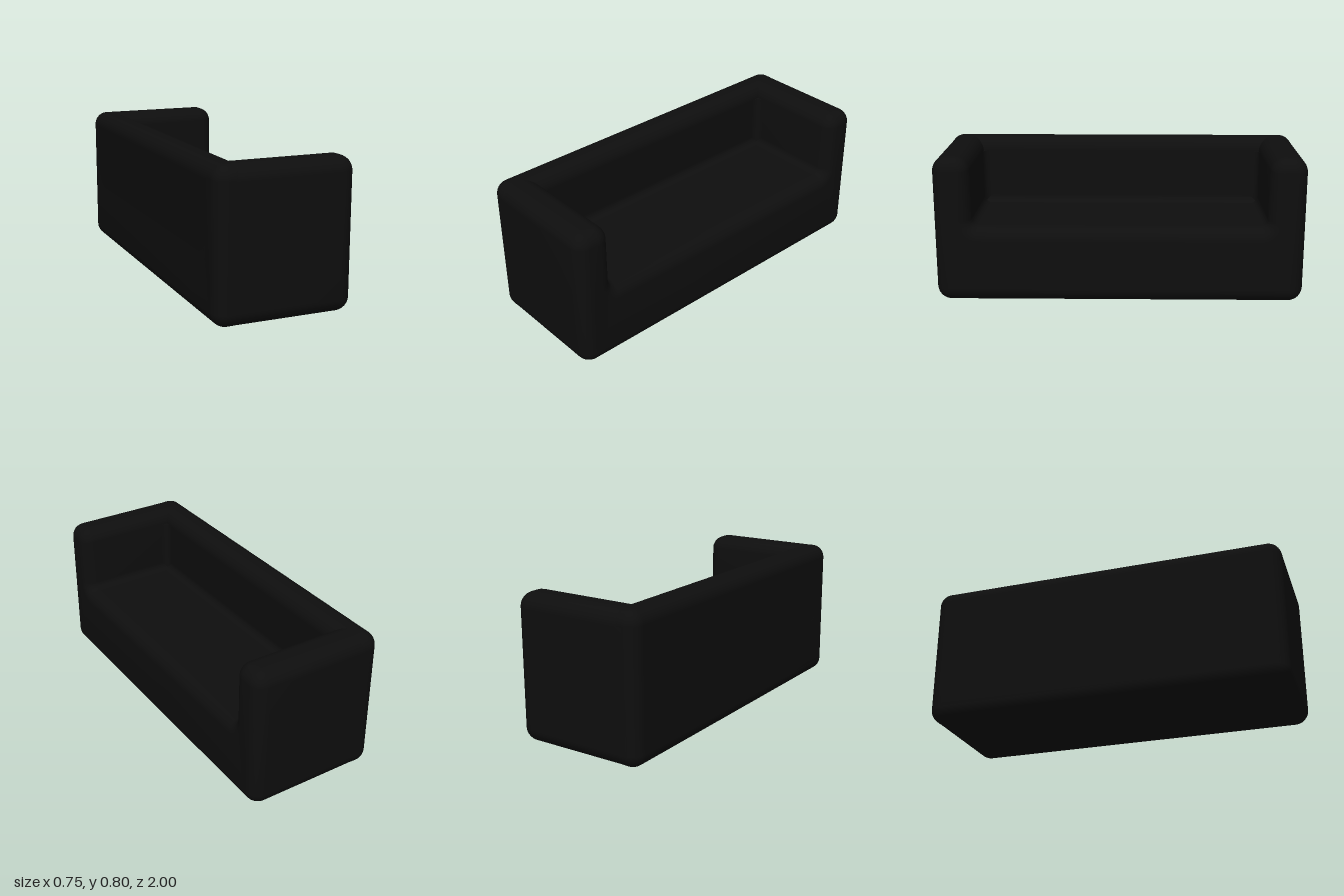
import * as THREE from 'three';
import { RoundedBoxGeometry } from 'three/addons/geometries/RoundedBoxGeometry.js';
import { toCreasedNormals } from 'three/addons/utils/BufferGeometryUtils.js';

const R = 0.075;    // soft outer edges
const FILLET = 0.04; // soft inner corners
const WIDTH = 0.75, HEIGHT = 0.8, SEAT = 0.42, ARM = 0.8, BACK = -0.2;

// U-shaped outline of seat and arms, with every corner rounded
function frameShape() {
  const r = R + 0.003, f = FILLET, q = Math.PI / 2;
  const s = new THREE.Shape();
  s.absarc(1 - r, r, r, -q, 0, false);
  s.absarc(1 - r, HEIGHT - r, r, 0, q, false);
  s.absarc(ARM + r, HEIGHT - r, r, q, 2 * q, false);
  s.absarc(ARM - f, SEAT + f, f, 0, -q, true);
  s.absarc(-ARM + f, SEAT + f, f, -q, -2 * q, true);
  s.absarc(-ARM - r, HEIGHT - r, r, 0, q, false);
  s.absarc(-1 + r, HEIGHT - r, r, q, 2 * q, false);
  s.absarc(-1 + r, r, r, 2 * q, 3 * q, false);
  s.closePath();
  return s;
}

// Concave strip that softens an inner corner, running along z
function filletGeometry(length) {
  const f = FILLET, e = 0.02;
  const s = new THREE.Shape();
  s.moveTo(-e, -e);
  s.lineTo(f, -e);
  s.absarc(f, f, f, -Math.PI / 2, -Math.PI, true);
  s.lineTo(-e, f);
  s.closePath();
  const g = new THREE.ExtrudeGeometry(s, { depth: length, bevelEnabled: false, curveSegments: 8 });
  g.translate(0, 0, -length / 2);
  return toCreasedNormals(g, 0.6);
}

export function createModel() {
  const sofa = new THREE.Group();
  sofa.name = 'sofa';
  const upholstery = new THREE.MeshStandardMaterial({ color: 0x0e0e0e });
  upholstery.name = 'black upholstery';

  const add = (name, geometry, x, y, z) => {
    const mesh = new THREE.Mesh(geometry, upholstery);
    mesh.name = name;
    mesh.position.set(x, y, z);
    sofa.add(mesh);
    return mesh;
  };

  // Seat and both arms in one piece
  const frame = new THREE.ExtrudeGeometry(frameShape(), {
    depth: WIDTH - 2 * R, curveSegments: 8,
    bevelThickness: R, bevelSize: R, bevelOffset: -R, bevelSegments: 8,
  });
  frame.translate(0, 0, -(WIDTH / 2 - R));
  frame.rotateY(Math.PI / 2);
  add('seatAndArms', toCreasedNormals(frame, 0.6), 0, 0, 0);

  // Backrest
  const backDepth = BACK + WIDTH / 2;
  add('backrest', new RoundedBoxGeometry(backDepth, HEIGHT, 2, 8, R),
    BACK - backDepth / 2, HEIGHT / 2, 0);

  // Soft inner corners between backrest, seat and arms
  add('seatBackCorner', filletGeometry(2 * ARM), BACK, SEAT, 0);
  const top = HEIGHT - R;
  for (const side of [1, -1]) {
    const corner = add(side > 0 ? 'rightArmCorner' : 'leftArmCorner',
      filletGeometry(top - SEAT), BACK, (top + SEAT) / 2, side * ARM);
    corner.rotation.x = -side * Math.PI / 2;
  }
  return sofa;
}
